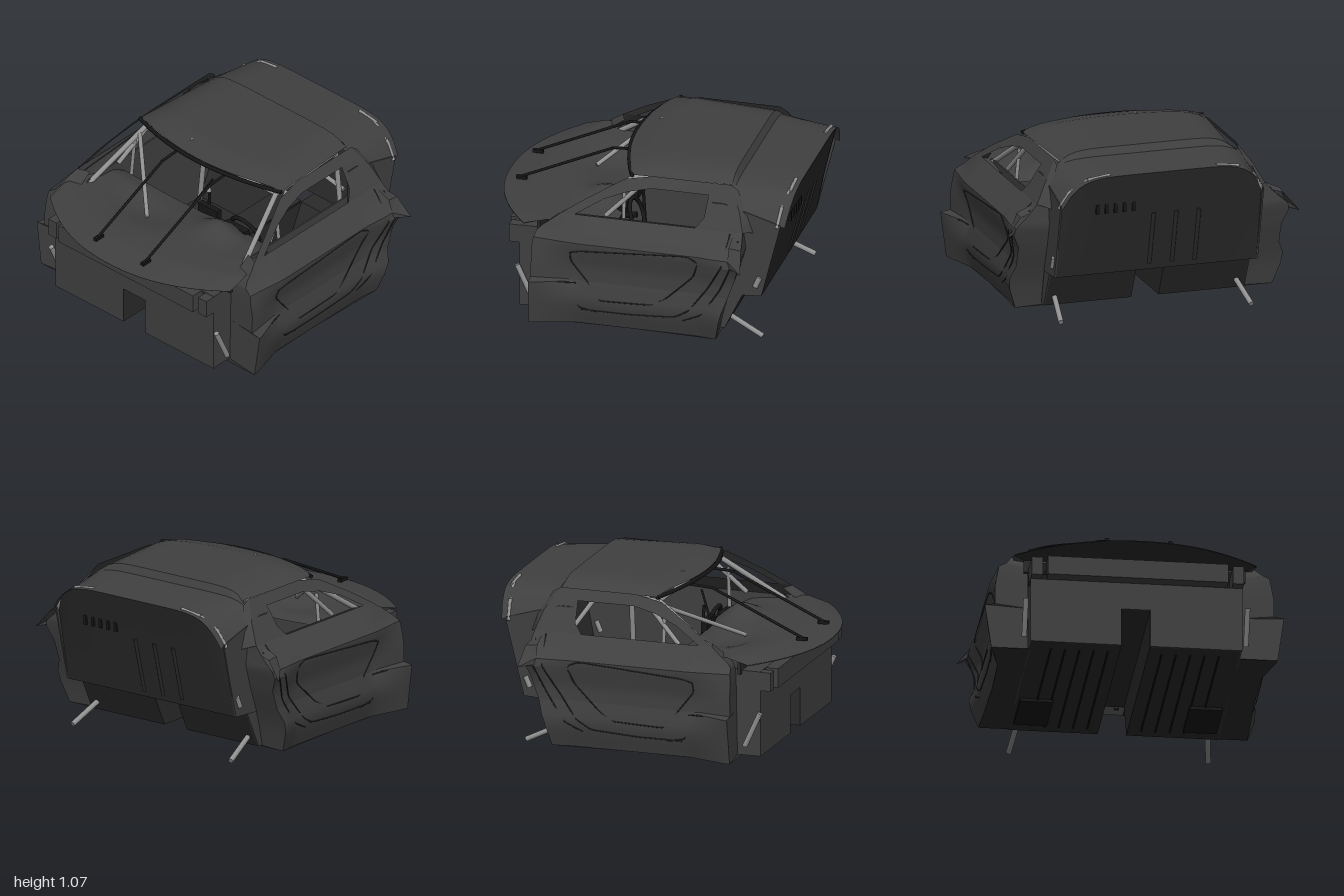
import * as THREE from 'three';
import { toCreasedNormals } from 'three/addons/utils/BufferGeometryUtils.js';

const mat = (name, color) => new THREE.MeshStandardMaterial({ name, color, side: THREE.DoubleSide });
const V = (p) => new THREE.Vector3(...p);
const lerp = THREE.MathUtils.lerp;
const clamp = THREE.MathUtils.clamp;

// piecewise linear lookup in a list of [key, value]
function lookup(table, k) {
  if (k <= table[0][0]) return table[0][1];
  for (let i = 1; i < table.length; i++) {
    const [a, va] = table[i - 1], [b, vb] = table[i];
    if (k <= b) return lerp(va, vb, (k - a) / (b - a));
  }
  return table[table.length - 1][1];
}

// skin over rows of points
function skin(rows, crease = 0.6) {
  const n = rows[0].length, index = [];
  for (let i = 0; i < rows.length - 1; i++)
    for (let j = 0; j < n - 1; j++) {
      const a = i * n + j, b = a + n;
      index.push(a, b, a + 1, a + 1, b, b + 1);
    }
  const g = new THREE.BufferGeometry();
  g.setAttribute('position', new THREE.Float32BufferAttribute(rows.flat(2), 3));
  g.setIndex(index);
  return toCreasedNormals(g, crease);
}
const grid = (nu, nv, f) => Array.from({ length: nu + 1 }, (_, i) =>
  Array.from({ length: nv + 1 }, (_, j) => f(i / nu, j / nv)));

// half width of the body side, its width at the front end, and its front and rear edges, by height
const PROFILE = [[.07, .83], [.2, .87], [.28, .88], [.36, .845], [.5, .845], [.59, .885], [.64, .885], [.7, .83], [.78, .755], [.9, .69], [1.03, .6]];
const NOSE = [[.07, .905], [.365, .945], [.375, .88], [.5, .88], [.64, .855], [.68, .79], [.78, .75]];
const FRONT = [[.07, .63], [.62, .62], [.68, .6], [.78, .46]];
const REAR = [[.07, -.57], [.25, -.61], [.5, -.7], [.64, -.74], [.78, -.72]];
function sideX(y, z) {
  const front = clamp((z - .34) / .27, 0, 1);
  const rear = clamp((-z - .45) / .15, 0, 1) * clamp((.7 - y) / .1, 0, 1);
  return lerp(lookup(PROFILE, y), lookup(NOSE, y), front) + rear * .025;
}

export function createModel() {
  const root = new THREE.Group();
  root.name = 'racingCabin';
  const body = mat('darkBody', 0x404040);
  const black = mat('black', 0x161616);
  const under = mat('underbody', 0x2a2a2a);
  const steel = mat('greySteel', 0x909090);

  const add = (name, geo, m) => {
    const mesh = new THREE.Mesh(geo, m);
    mesh.name = name;
    root.add(mesh);
    return mesh;
  };
  const box = (name, x0, x1, y0, y1, z0, z1, m) =>
    add(name, new THREE.BoxGeometry(Math.abs(x1 - x0), y1 - y0, z1 - z0), m)
      .position.set((x0 + x1) / 2, (y0 + y1) / 2, (z0 + z1) / 2);
  const rod = (name, a, b, r, m) => {
    const A = V(a), B = V(b), d = B.clone().sub(A);
    const mesh = add(name, new THREE.CylinderGeometry(r, r, d.length(), 12), m);
    mesh.position.copy(A).add(B).multiplyScalar(.5);
    mesh.quaternion.setFromUnitVectors(new THREE.Vector3(0, 1, 0), d.normalize());
  };
  const tube = (name, pts, r, m) => add(name,
    new THREE.TubeGeometry(new THREE.CatmullRomCurve3(pts.map(V), false, 'catmullrom', .1), pts.length * 6, r, 6), m);
  // thin flat plate across x, outlined in z and y
  const plate = (name, zy, x, m) => {
    const s = new THREE.Shape(zy.map((p) => new THREE.Vector2(...p)));
    add(name, new THREE.ExtrudeGeometry(s, { depth: .01, bevelEnabled: false }).rotateY(-Math.PI / 2), m).position.x = x;
  };

  // roof panel with a curved front edge
  add('roof', skin(grid(16, 24, (t, v) => {
    const u = v * 2 - 1, z = lerp(.16 - .12 * u * u, -.6, t);
    const rise = .03 + .032 * Math.min(1, t * 5);
    return [u * lerp(.6, .56, t), 1.025 + rise * (1 - u ** 8) - .012 * t, z];
  })), body);
  add('roofStep', skin(grid(1, 24, (t, v) => {
    const u = v * 2 - 1;
    return [u * lerp(.56, .6, t), lerp(1.013 + .062 * (1 - u ** 8), 1.025 - .04 * u ** 6, t), lerp(-.6, -.625, t)];
  })), body);
  // rear deck rolling down at its outer edges
  const deckEnd = (u) => 1.005 - .2 * Math.abs(u) ** 7;
  add('rearDeck', skin(grid(8, 28, (t, v) => {
    const u = v * 2 - 1;
    return [u * .67, lerp(1.03 - .1 * Math.abs(u) ** 8, deckEnd(u), t), lerp(-.58, -1 + .03 * u ** 8, t)];
  })), body);
  tube('windscreenHeader', Array.from({ length: 13 }, (_, i) => {
    const u = i / 6 - 1;
    return [u * .6, 1.045 - .025 * u * u, .17 - .13 * u * u];
  }), .014, black);

  // rear bulkhead up to the deck edge, and its details
  const bulkZ = [[.32, -.82], [.9, -.97], [1.005, -1]];
  add('rearBulkhead', skin(grid(6, 28, (t, v) => {
    const u = v * 2 - 1, y = lerp(.32, deckEnd(u), t);
    return [u * .67, y, lookup(bulkZ, y) + .03 * u ** 8 * t];
  })), under);
  for (const x of [.05, -.1, -.25]) rod('bulkheadRib', [x, .36, -.825], [x, .72, -.92], .014, under);
  for (let i = 0; i < 5; i++) box('ventSlot', .18 + i * .06, .2 + i * .06, .75, .81, -.952, -.935, black);

  // firewall with tunnel notch
  const wall = new THREE.Shape([[-.67, .07], [-.1, .07], [-.1, .32], [.09, .32], [.09, .07], [.67, .07], [.67, .5], [.57, .5], [.57, .62], [-.57, .62], [-.57, .5], [-.67, .5]]
    .map((p) => new THREE.Vector2(...p)));
  add('firewall', new THREE.ExtrudeGeometry(wall, { depth: .012, bevelEnabled: false }), body).position.z = .74;
  box('firewallBeam', -.57, .57, .5, .625, .752, .835, body);
  box('cowlWall', -.7, .7, .6, .69, .61, .63, under);
  box('cowlShelf', -.67, .67, .61, .622, .63, .75, body);
  box('tunnelTop', -.1, .09, .32, .33, -.7, .75, under);

  for (const s of [1, -1]) {
    const inner = s > 0 ? .09 : -.1;
    const flip = (p) => [p[0] * s, p[1], p[2]];
    const m = (rows) => rows.map((r) => r.map(flip));

    // tub
    const floor = [[.75, .07], [-.58, .07], [-.7, .32], [-.82, .32]];
    add('floor', skin(floor.map(([z, y]) => [[inner, y, z], [s * .66, y, z]]), .3), under);
    plate('tunnelWall', [[.75, .07], [-.58, .07], [-.7, .32], [.75, .32]], inner + .005, under);
    plate('tubSide', [[.75, .07], [-.58, .07], [-.7, .32], [-.7, .74], [.45, .74], [.6, .62], [.75, .5]], s * .66 + .005, body);
    plate('rearSide', [[-.5, .3], [-.82, .32], [-.945, .82], [-.58, .93], [-.5, .93]], s * .668 + .005, body);
    for (let i = 0; i < 5; i++) {
      const x = s * (.17 + i * .09);
      box('floorRib', x - .005, x + .005, .062, .072, -.5, .65, black);
    }
    box('sillFoot', s * .43, s * .64, .048, .07, -.45, -.1, black);

    // lower body side with its end flanges
    const ys = [.07, .13, .2, .28, .365, .375, .43, .5, .59, .64, .67, .7, .74, .78];
    add('bodySide', skin(m(ys.map((y) => Array.from({ length: 29 }, (_, i) => {
      const z = lerp(lookup(FRONT, y), lookup(REAR, y), i / 28);
      return [sideX(y, z), y, z];
    })))), body);
    const flange = (name, edge, dz) => add(name, skin(m(ys.map((y) => {
      const z = lookup(edge, y);
      return [[sideX(y, z), y, z], [.67, y, z + dz]];
    }))), body);
    flange('frontFlange', FRONT, -.03);
    flange('rearFlange', REAR, .02);
    add('sillBottom', skin(m([.63, .36, 0, -.57].map((z) => [[sideX(.07, z), .07, z], [.64, .07, z]]))), under);

    // window surround: pillars and roof rail
    const outer = [[.46, .78], [.3, .88], [.08, 1.0], [-.1, 1.03], [-.6, 1.03], [-.68, .9], [-.72, .78]];
    const hole = [[.37, .78], [.2, .88], [.05, .935], [-.1, .965], [-.47, .965], [-.46, .84], [-.41, .78]];
    add('windowSurround', skin(m(outer.map(([z, y], i) => Array.from({ length: 4 }, (_, j) => {
      const zz = lerp(z, hole[i][0], j / 3), yy = lerp(y, hole[i][1], j / 3);
      return [sideX(yy, zz), yy, zz];
    })))), body);
    add('pillarRear', skin(m([[1.03, .6, -.6], [.9, .69, -.68], [.78, .755, -.72]].map(([y, x, z]) =>
      [[x, y, z], [Math.min(x, .665), y - .03, z - .05]]))), body);

    // door shut lines
    const line = (name, list) => tube(name, list.map(([z, y]) => flip([sideX(y, z), y, z])), .004, under);
    line('doorPanelLine', [[.37, .57], [.3, .59], [0, .61], [-.38, .635], [-.46, .6], [-.42, .48], [-.25, .32], [-.15, .27], [.18, .26], [.26, .36], [.37, .5], [.37, .57]]);
    line('doorShutLine', [[-.64, .77], [-.62, .6], [-.52, .42], [-.4, .26], [-.3, .2], [0, .18], [.3, .18]]);
    line('rearShutLine', [[-.7, .74], [-.68, .6], [-.6, .42], [-.48, .24], [-.36, .18]]);
    line('fenderLine', [[.45, .36], [.33, .35], [.32, .2], [.2, .17]]);

    // rear quarter fin and front corner block
    add('quarterFin', skin(m([
      [[.76, .77, -.66], [.76, .74, -.72]], [[.87, .72, -.66], [.87, .71, -.74]], [[.9, .64, -.66], [.97, .59, -.76]], [[.9, .6, -.66], [.91, .6, -.72]],
    ])), body);
    box('cornerBlock', s * .6, s * .67, .5, .62, .63, .82, body);

    // suspension struts and rear brackets
    rod('frontStrut', [s * .7, .36, .76], [s * .7, .14, .66], .017, steel);
    rod('rearStrut', [s * .6, .13, -.6], [s * .63, .025, -.82], .017, steel);
    rod('deckBracket', [s * .35, 1.006, -.96], [s * .5, .985, -.96], .011, steel);
    rod('deckBracketArm', [s * .48, .99, -.955], [s * .6, .91, -.93], .011, steel);
    rod('cornerTube', [s * .6, .92, -.935], [s * .675, .8, -.92], .012, steel);
    rod('sideBracket', [s * .67, .45, -.81], [s * .67, .38, -.78], .018, steel);

    // roll cage sides
    const top = [s * .55, .985, .04];
    rod('cageFrontLeg', top, [s * .67, .68, .5], .017, steel);
    rod('cageRail', top, [s * .53, .99, -.54], .017, steel);
    rod('cageHoopLeg', [s * .53, .99, -.54], [s * .62, .1, -.54], .017, steel);
    rod('cageDoorBrace', [s * .57, .975, -.04], [s * .64, .74, .2], .015, steel);
    rod('cageUpright', [s * .6, .9, .09], [s * .63, .6, .09], .012, steel);
    rod('cageDiagonal', [s * .53, .96, -.54], [-s * .58, .72, -.56], .015, steel);
    rod('cageRoofBrace', [s * .55, .985, -.02], [0, 1.0, -.5], .015, steel);

    // windscreen stay, wide at its foot
    const stay = s * .2 - .003;
    rod('screenStay', [stay, .73, .87], [stay, 1.0, .27], .009, black);
    rod('screenStayTop', [stay, 1.0, .27], [stay, 1.01, .12], .009, black);
    box('screenStayFoot', stay - .013, stay + .013, .715, .735, .83, .9, black);
  }
  rod('cageHoopTop', [-.53, .99, -.54], [.53, .99, -.54], .017, steel);
  rod('cageFrontTop', [-.55, .985, .04], [.55, .985, .04], .014, steel);
  rod('cageDashBrace', [-.57, .96, .08], [-.15, .7, .47], .014, steel);

  // dashboard with a rounded nose, a cowl hump and a recess
  const nose = (u) => .99 - .29 * Math.abs(u) ** 2.2;
  add('dashboard', skin(grid(24, 36, (t, v) => {
    const u = v * 2 - 1, z = lerp(.15, nose(u), t);
    const hump = .075 * Math.exp(-(((u - .42) / .2) ** 2) - ((t - .16) / .16) ** 2);
    const dip = .05 * Math.exp(-(((u + .35) / .35) ** 2) - ((t - .3) / .25) ** 2);
    return [u * lerp(.64, .765, Math.min(1, t * 1.3)), lookup([[0, .66], [.15, .7], [.5, .725], [.75, .722], [1, .685]], t) + hump - dip, z];
  })), body);
  add('dashUnderside', skin(grid(2, 36, (t, v) => {
    const u = v * 2 - 1;
    return [u * lerp(.765, .7, t), .68, lerp(nose(u), .62, t)];
  })), under);

  // steering wheel and controls
  const wheel = add('steeringWheel', new THREE.TorusGeometry(.11, .014, 8, 24), black);
  wheel.position.set(.33, .62, .08);
  wheel.rotation.x = .35;
  rod('steeringColumn', [.33, .62, .08], [.33, .58, .4], .02, black);
  box('displayUnit', .24, .42, .64, .7, .14, .19, black);
  box('controlPanel', 0, .16, .64, .72, .12, .16, black);
  rod('shiftLever', [.03, .33, .1], [.06, .8, .12], .01, black);
  rod('shiftBrace', [-.02, .7, .2], [.07, .9, .1], .007, black);
  rod('roofAerial', [-.15, 1.04, .06], [-.15, 1.08, .05], .01, steel);
  return root;
}
